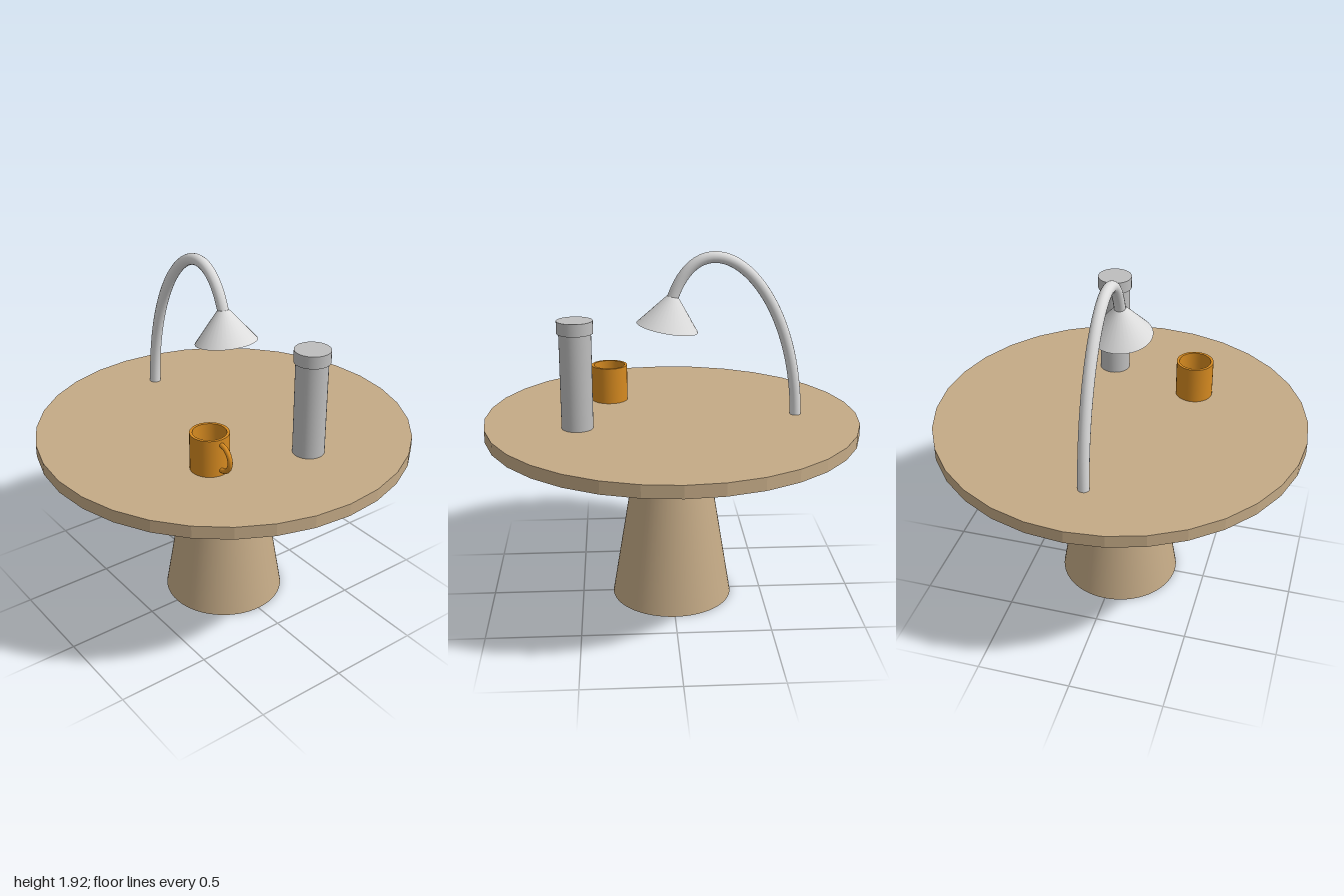
import * as THREE from 'three';

const material = (name, color, extra = {}) => {
  const m = new THREE.MeshStandardMaterial({ color, ...extra });
  m.name = name;
  return m;
};

export function createModel() {
  const wood = material('wood', 0xc4aa86);
  const woodFlat = material('wood', 0xc4aa86, { flatShading: true });
  const lampGrey = material('light grey', 0xdcdcdc);
  const steel = material('steel grey', 0xbebebe);
  const orange = material('orange', 0xd68a20);

  const model = new THREE.Group();
  const add = (parent, name, geometry, mat, x = 0, y = 0, z = 0) => {
    const mesh = new THREE.Mesh(geometry, mat);
    mesh.name = name;
    mesh.position.set(x, y, z);
    parent.add(mesh);
    return mesh;
  };
  const group = (name, x, y, z) => {
    const g = new THREE.Group();
    g.name = name;
    g.position.set(x, y, z);
    model.add(g);
    return g;
  };
  const topY = 1.037;

  // Table: faceted round top on a tapered pedestal
  add(model, 'tableTop', new THREE.CylinderGeometry(1, 1, 0.067, 32), woodFlat, 0, topY - 0.0335, 0);
  add(model, 'pedestal', new THREE.CylinderGeometry(0.17, 0.33, 0.97, 64), wood, 0, 0.485, 0);

  // Lamp: arched tube carrying a tilted conical shade
  const lamp = group('lamp', 0, 0, 0);
  const arch = new THREE.CubicBezierCurve3(
    new THREE.Vector3(-0.67, topY, 0),
    new THREE.Vector3(-0.65, 1.78, 0),
    new THREE.Vector3(-0.17, 2.15, 0),
    new THREE.Vector3(-0.005, 1.68, 0)
  );
  add(lamp, 'lampArm', new THREE.TubeGeometry(arch, 48, 0.03, 16), lampGrey);
  const shade = add(lamp, 'lampShade', new THREE.CylinderGeometry(0.03, 0.164, 0.166, 32), lampGrey, 0.009, 1.605, 0);
  shade.rotation.z = 0.17;

  // Bottle with a wider cap
  const bottle = group('bottle', 0.5, topY, -0.168);
  add(bottle, 'bottleBody', new THREE.CylinderGeometry(0.083, 0.083, 0.505, 32), steel, 0, 0.2525, 0);
  add(bottle, 'bottleCap', new THREE.CylinderGeometry(0.093, 0.093, 0.065, 32), steel, 0, 0.5345, 0);

  // Mug: hollow walls built as separate smooth sections, so the rims stay sharp
  const mug = group('mug', 0.332, topY, 0.332);
  const profile = [[0, 0], [0.1, 0], [0.1, 0.2], [0.085, 0.2], [0.085, 0.02], [0, 0.02]];
  const names = ['mugBase', 'mugWall', 'mugRim', 'mugInside', 'mugFloor'];
  names.forEach((name, i) => {
    const section = profile.slice(i, i + 2).map(([r, y]) => new THREE.Vector2(r, y));
    add(mug, name, new THREE.LatheGeometry(section, 32), orange);
  });
  const handle = add(mug, 'mugHandle', new THREE.TorusGeometry(0.07, 0.013, 12, 24, Math.PI), orange, 0.098, 0.1, 0);
  handle.rotation.z = -Math.PI / 2;

  return model;
}
